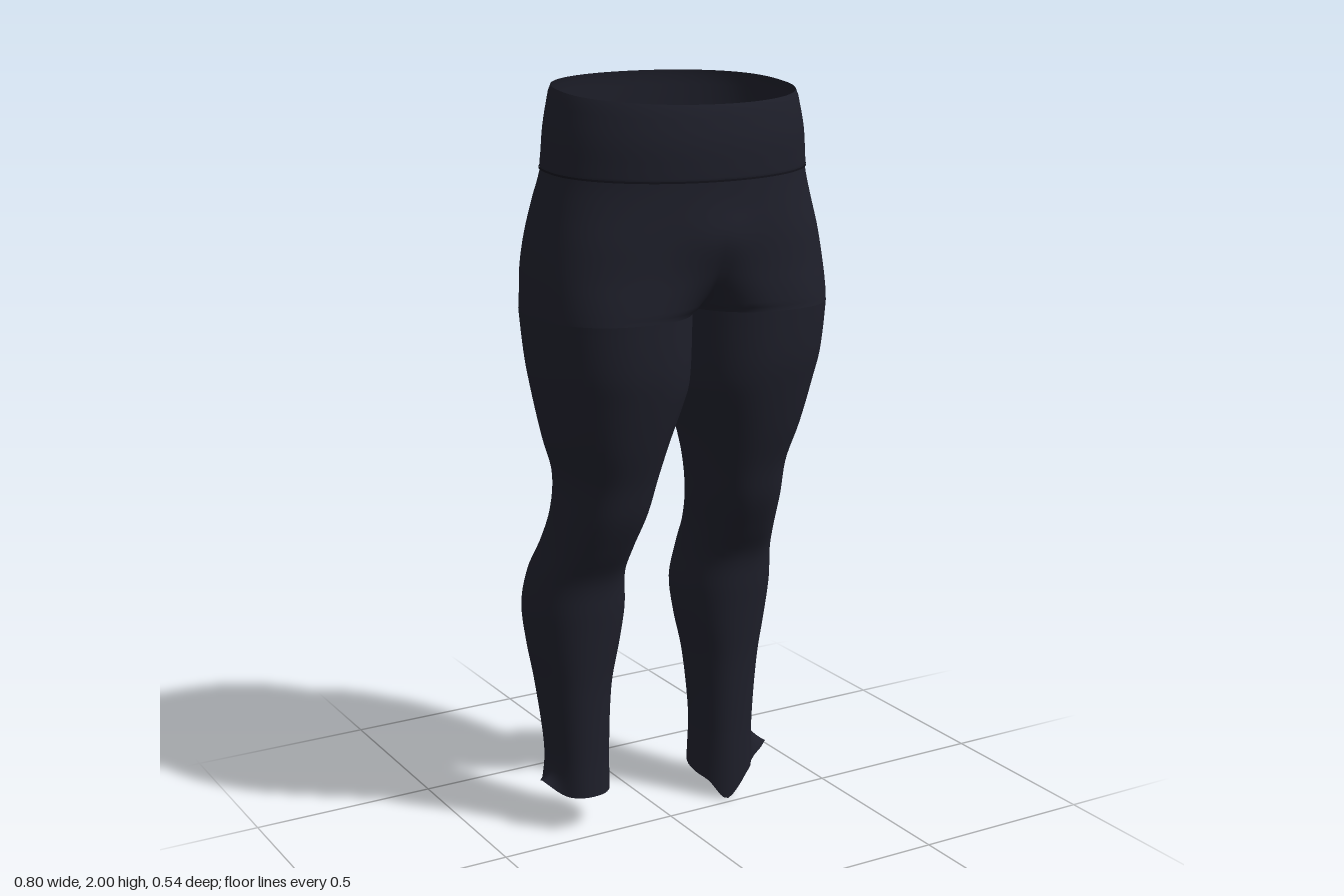
import * as THREE from 'three';
import { mergeVertices } from 'three/addons/utils/BufferGeometryUtils.js';

// Half-body sections: height, outer x, inner x, front z, back z, z of the widest point.
// A negative inner x means the section runs past the middle and is open at x = 0.
const SECTIONS = [
  [1.975, 0.318, -0.318, 0.255, -0.19, 0.03],
  [1.88, 0.338, -0.338, 0.267, -0.195, 0.03],
  [1.78, 0.348, -0.348, 0.264, -0.205, 0.03],
  [1.7, 0.364, -0.32, 0.259, -0.246, 0.03],
  [1.62, 0.38, -0.24, 0.252, -0.27, 0.035],
  [1.54, 0.393, -0.15, 0.246, -0.264, 0.04],
  [1.48, 0.398, -0.06, 0.245, -0.238, 0.04],
  [1.43, 0.4, -0.012, 0.244, -0.225, 0.035],
  [1.3, 0.389, -0.012, 0.234, -0.207, 0.03],
  [1.22, 0.374, 0.006, 0.217, -0.193, 0.02],
  [1.1, 0.346, 0.045, 0.184, -0.172, 0.01],
  [1.0, 0.318, 0.07, 0.15, -0.152, 0],
  [0.9, 0.318, 0.088, 0.12, -0.158, -0.02],
  [0.8, 0.328, 0.106, 0.07, -0.2, -0.06],
  [0.72, 0.347, 0.106, 0.025, -0.238, -0.1],
  [0.62, 0.357, 0.097, 0.01, -0.264, -0.12],
  [0.52, 0.346, 0.11, -0.002, -0.257, -0.125],
  [0.4, 0.326, 0.134, -0.014, -0.236, -0.125],
  [0.22, 0.308, 0.146, -0.02, -0.21, -0.115],
  [0.105, 0.306, 0.146, -0.018, -0.22, -0.115],
];
const CROTCH = 1.43;
const ARC = 44;

// Smooth interpolation of the section table
function sectionAt(y) {
  let i = 0;
  while (i < SECTIONS.length - 2 && y < SECTIONS[i + 1][0]) i++;
  const p = SECTIONS[i], q = SECTIONS[i + 1];
  const before = SECTIONS[Math.max(i - 1, 0)], after = SECTIONS[Math.min(i + 2, SECTIONS.length - 1)];
  const h = q[0] - p[0], u = (y - p[0]) / h, u2 = u * u, u3 = u2 * u;
  return p.map((v, k) => {
    const m0 = (q[k] - before[k]) / (q[0] - before[0]) * h;
    const m1 = (after[k] - v) / (after[0] - p[0]) * h;
    return (2 * u3 - 3 * u2 + 1) * v + (u3 - 2 * u2 + u) * m0 + (3 * u2 - 2 * u3) * q[k] + (u3 - u2) * m1;
  });
}

const power = (v, e) => Math.sign(v) * Math.abs(v) ** e;

// One section of the left half, from back through the outer side to the front
function ring(y, offset = 0, hem = []) {
  let [, xo, xi, zf, zb, zm] = sectionAt(y);
  if (y <= CROTCH) xi = Math.max(xi, 0);
  else xi = Math.min(xi, 0);
  // squarish legs blend into a rounder waist
  const round = THREE.MathUtils.smoothstep(y, 1.6, 1.8);
  const e = 0.87 + 0.11 * round, front = 0.9 + 0.08 * round, back = 0.8 - 0.08 * round;
  const cx = (xo + xi) / 2, a = (xo - xi) / 2;
  const limit = xi < 0 ? Math.acos(-(Math.min(Math.max(cx / a, 0), 1) ** (1 / e))) : Math.PI;
  const points = [];
  for (let j = 0; j <= ARC; j++) {
    const t = limit * (2 * j / ARC - 1), s = Math.sin(t);
    const p = new THREE.Vector3(
      cx + (a + offset) * power(Math.cos(t), e),
      y,
      zm + (s > 0 ? zf - zm + offset : zm - zb + offset) * power(s, s > 0 ? front : back));
    if (xi < 0 && (j === 0 || j === ARC)) p.x = 0;
    // hollow between the buttocks and a matching fullness in front
    if (y > CROTCH) p.z += 0.02 * Math.exp(-((p.x / 0.09) ** 2) - (((y - 1.62) / 0.08) ** 2));
    // the waist rises towards the back
    p.y -= 0.11 * (p.z - 0.03) * Math.max(0, (y - 1.6) / 0.375);
    // uneven, pulled hem
    const w = Math.max(0, (0.2 - y) / 0.095) ** 2;
    for (const pull of hem) {
      let d = Math.abs(t - pull.t);
      d = Math.min(d, 2 * Math.PI - d);
      const g = w * Math.exp(-((d / pull.width) ** 2));
      p.x += g * pull.dx;
      p.y += g * pull.dy;
    }
    points.push(p);
  }
  return points;
}

// Skin rings into a surface, on the given sides (+1 left, -1 right)
function loft(rings, sides) {
  const pos = [], index = [], row = ARC + 1;
  for (const side of sides) {
    const start = pos.length / 3;
    for (const r of rings) for (const p of r) pos.push(side * p.x, p.y, p.z);
    for (let i = 0; i < rings.length - 1; i++) {
      for (let j = 0; j < ARC; j++) {
        const a = start + i * row + j, b = a + 1, c = a + row, d = c + 1;
        if (side > 0) index.push(a, b, c, b, d, c);
        else index.push(a, c, b, b, c, d);
      }
    }
  }
  const g = new THREE.BufferGeometry();
  g.setAttribute('position', new THREE.Float32BufferAttribute(pos, 3));
  g.setIndex(index);
  const merged = mergeVertices(g, 1e-4);
  merged.computeVertexNormals();
  return merged;
}

const heights = (from, to, n) => Array.from({ length: n + 1 }, (_, i) => (i === n ? to : from + (to - from) * i / n));

export function createModel() {
  const group = new THREE.Group();
  const fabric = new THREE.MeshStandardMaterial({ color: 0x1e1f2a, side: THREE.DoubleSide });
  fabric.name = 'dark navy fabric';
  const stitch = new THREE.MeshStandardMaterial({ color: 0x12121a, side: THREE.DoubleSide });
  stitch.name = 'dark stitching';
  const add = (name, geometry, material = fabric) => {
    const mesh = new THREE.Mesh(geometry, material);
    mesh.name = name;
    group.add(mesh);
  };

  // Waistband with a small lip over the hips
  add('waistband', loft([ring(1.975), ...heights(1.96, 1.79, 8).map(y => ring(y, 0.003)), ring(1.782, 0.002), ring(1.78)], [1, -1]));
  add('waistSeam', loft([ring(1.784, 0.0035), ring(1.779, 0.0035)], [1, -1]), stitch);

  // Hips, down to where the legs part
  add('hips', loft(heights(1.78, CROTCH, 28).map(y => ring(y)), [1, -1]));

  // Legs with their uneven hems
  const legRows = [...heights(CROTCH, 0.2, 56), ...heights(0.188, 0.105, 7)];
  const hems = {
    leftLeg: [1, [
      { t: 0, width: 9, dx: 0, dy: -0.03 },
      { t: 1.9, width: 0.5, dx: 0, dy: -0.072 },
      { t: 2.9, width: 0.7, dx: -0.004, dy: -0.015 },
      { t: -0.05, width: 0.3, dx: 0.075, dy: 0.03 },
    ]],
    rightLeg: [-1, [
      { t: 0.1, width: 0.35, dx: 0.028, dy: 0.035 },
      { t: -0.5, width: 0.8, dx: 0.006, dy: 0.005 },
    ]],
  };
  for (const [name, [side, hem]] of Object.entries(hems)) {
    add(name, loft(legRows.map(y => ring(y, 0, hem)), [side]));
  }
  return group;
}
